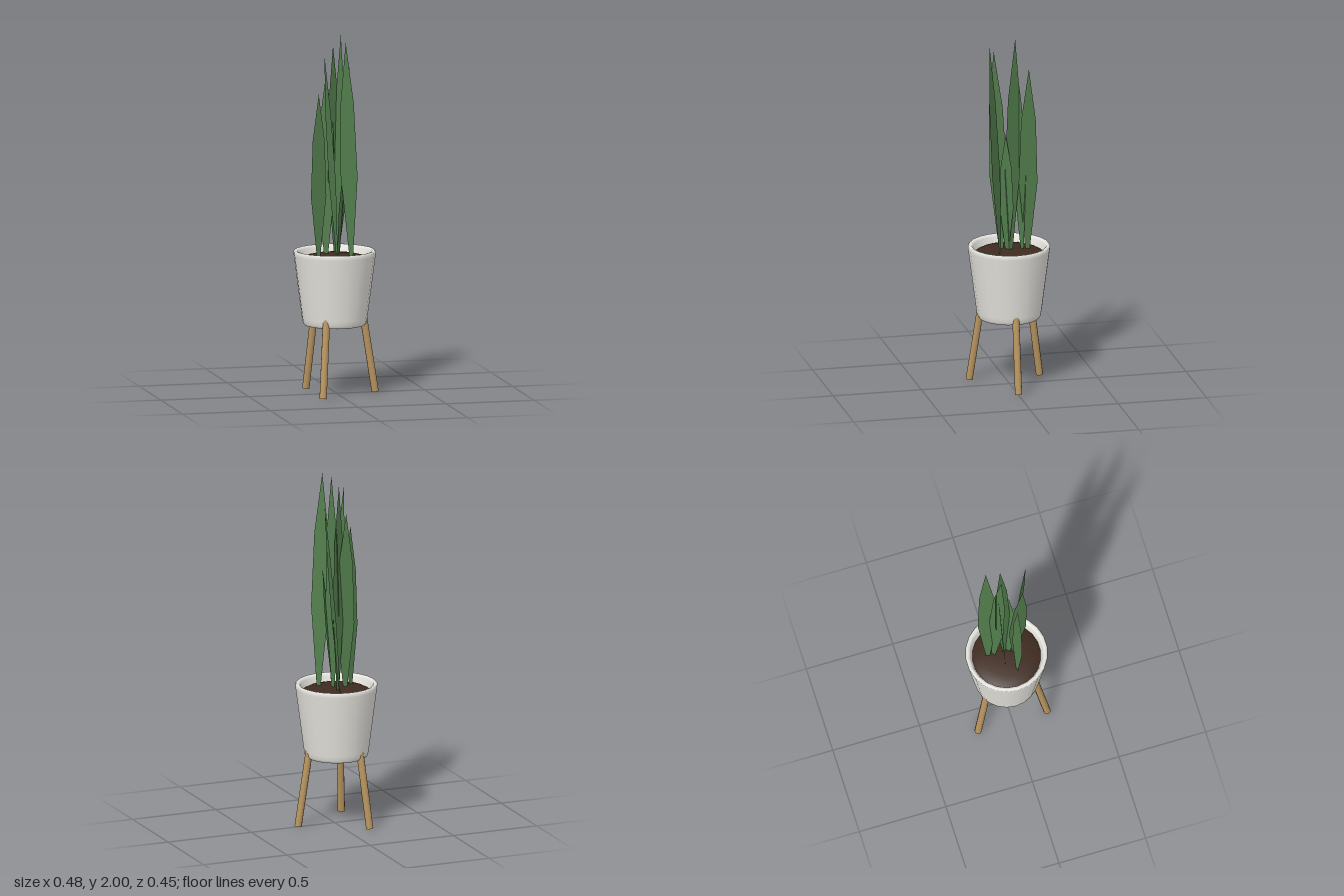
import * as THREE from 'three';

export function createModel() {
  const mat = (name, color) => {
    const m = new THREE.MeshStandardMaterial({ color });
    m.name = name;
    return m;
  };
  const ceramic = mat('white ceramic', 0xe6e4de);
  const wood = mat('light wood', 0xb8955f);
  const earth = mat('dark soil', 0x3f2b20);
  const green = mat('leaf green', 0x527d4c);
  green.side = THREE.DoubleSide;

  const model = new THREE.Group();
  model.name = 'pottedPlant';
  const planter = new THREE.Group();
  planter.name = 'planter';
  planter.position.x = -0.011;
  model.add(planter);

  const add = (parent, geometry, material, name) => {
    const mesh = new THREE.Mesh(geometry, material);
    mesh.name = name;
    parent.add(mesh);
    return mesh;
  };
  const lathe = (pts) => new THREE.LatheGeometry(
    pts.map(([r, y]) => new THREE.Vector2(r, y)), 22, Math.PI / 2);

  // Tapered pot: flat base, rounded foot, outer wall, rolled rim, inner wall
  add(planter, lathe([
    [0, 0.383], [0.155, 0.383], [0.169, 0.386], [0.177, 0.4], [0.181, 0.425],
    [0.2265, 0.775], [0.2285, 0.793], [0.221, 0.802], [0.208, 0.799],
    [0.201, 0.788], [0.188, 0.745],
  ]), ceramic, 'pot');

  // Slightly domed soil
  add(planter, lathe([
    [0.191, 0.752], [0.17, 0.764], [0.13, 0.774], [0.07, 0.781], [0, 0.783],
  ]), earth, 'soil');

  // Three splayed round legs
  const up = new THREE.Vector3(0, 1, 0);
  for (let i = 0; i < 3; i++) {
    const a = i * Math.PI * 2 / 3;
    const at = (r, y) => new THREE.Vector3(Math.cos(a) * r, y, Math.sin(a) * r);
    const foot = at(0.23, 0.003), top = at(0.161, 0.44);
    const axis = top.clone().sub(foot);
    const leg = add(planter, new THREE.CylinderGeometry(0.02, 0.02, axis.length(), 10), wood, 'leg');
    leg.position.copy(foot).add(top).multiplyScalar(0.5);
    leg.quaternion.setFromUnitVectors(up, axis.normalize());
  }

  // Flat sword-shaped leaf: cross rows from a narrow root to a pointed tip
  const rows = [[0, 0.2], [0.38, 1], [0.72, 0.78], [1, 0]];
  function leafGeometry([bx, bz], [tx, ty, tz], [dx, dz], half) {
    const pos = [], index = [], k = half / Math.hypot(dx, dz);
    rows.forEach(([t, w], i) => {
      const x = bx + (tx - bx) * t, z = bz + (tz - bz) * t;
      const y = 0.76 + (ty - 0.76) * t;
      for (const s of [-1, 1]) pos.push(x + s * dx * k * w, y, z + s * dz * k * w);
      if (i < rows.length - 1) {
        const j = i * 2;
        index.push(j, j + 1, j + 2);
        if (i < rows.length - 2) index.push(j + 1, j + 3, j + 2);
      }
    });
    const g = new THREE.BufferGeometry();
    g.setAttribute('position', new THREE.Float32BufferAttribute(pos, 3));
    g.setIndex(index);
    g.computeVertexNormals();
    return g;
  }

  // Root (x, z), tip (x, y, z), width direction (x, z), half width
  const leaves = [
    [[-0.11, 0.03], [-0.11, 1.68, 0.035], [1, -0.3], 0.049],
    [[0.067, 0.067], [0.022, 1.98, 0.12], [0.8, 0.63], 0.051],
    [[0.01, -0.1], [0.097, 1.84, -0.087], [-0.15, 1], 0.052],
    [[-0.008, 0.045], [-0.086, 1.9, 0.07], [0.15, 1], 0.052],
    [[0.012, -0.005], [0.03, 2.0, -0.025], [0.4, 0.95], 0.052],
    [[0.01, -0.07], [-0.013, 1.94, -0.03], [0.8, -0.5], 0.052],
    [[-0.055, -0.02], [-0.045, 1.78, -0.058], [1, 0.25], 0.049],
    [[0.003, 0.015], [0.058, 1.46, 0.035], [-0.6, 0.8], 0.042],
  ];
  const foliage = new THREE.Group();
  foliage.name = 'foliage';
  model.add(foliage);
  for (const l of leaves) add(foliage, leafGeometry(...l), green, 'leaf');

  return model;
}
